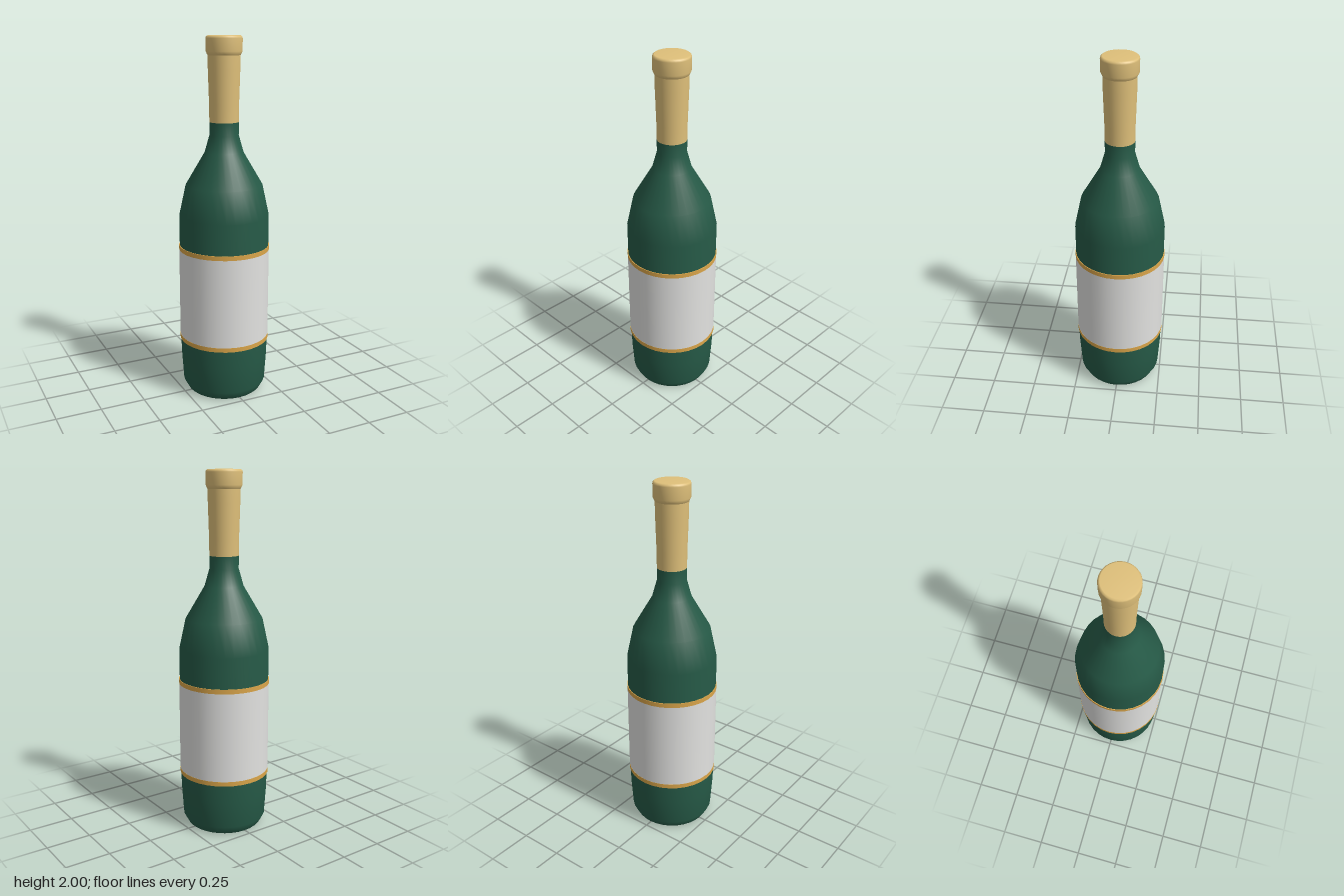
import * as THREE from 'three';

const SIDES = 32;

function material(name, color) {
  const m = new THREE.MeshStandardMaterial({ color });
  m.name = name;
  return m;
}

export function createModel() {
  const glass = material('green glass', 0x265a47);
  const foil = material('pale gold foil', 0xdfc07a);
  const paper = material('white paper', 0xe2e2e0);
  const gold = material('gold trim', 0xdba64a);

  const bottle = new THREE.Group();
  bottle.name = 'bottle';

  // Turned part from [radius, height] pairs, listed from bottom to top
  function turned(name, mat, profile) {
    const points = profile.map(([r, y]) => new THREE.Vector2(r, y));
    const mesh = new THREE.Mesh(new THREE.LatheGeometry(points, SIDES), mat);
    mesh.name = name;
    bottle.add(mesh);
  }

  // Glass body with shoulder and lower neck
  turned('glassBody', glass, [
    [0, 0], [0.205, 0], [0.212, 0.006], [0.236, 0.05], [0.246, 0.2],
    [0.25, 0.32], [0.25, 1.03], [0.213, 1.2], [0.107, 1.38],
    [0.08, 1.475], [0.08, 1.545],
  ]);

  // Foil sleeve around the neck
  turned('neckFoil', foil, [[0.08, 1.545], [0.081, 1.64], [0.087, 1.83], [0.088, 1.905]]);

  // Wider foil-covered lip and flat top
  turned('cap', foil, [
    [0.086, 1.895], [0.091, 1.903], [0.098, 1.918], [0.099, 1.985],
    [0.096, 1.994], [0.088, 2], [0, 2],
  ]);

  // Paper label wrapped all the way round, with trim at both edges
  const wrap = (name, mat, r, y0, y1) =>
    turned(name, mat, [[0.245, y0], [r, y0], [r, y0], [r, y1], [r, y1], [0.245, y1]]);
  wrap('label', paper, 0.253, 0.33, 0.835);
  wrap('lowerTrim', gold, 0.254, 0.306, 0.331);
  wrap('upperTrim', gold, 0.254, 0.834, 0.859);

  return bottle;
}
